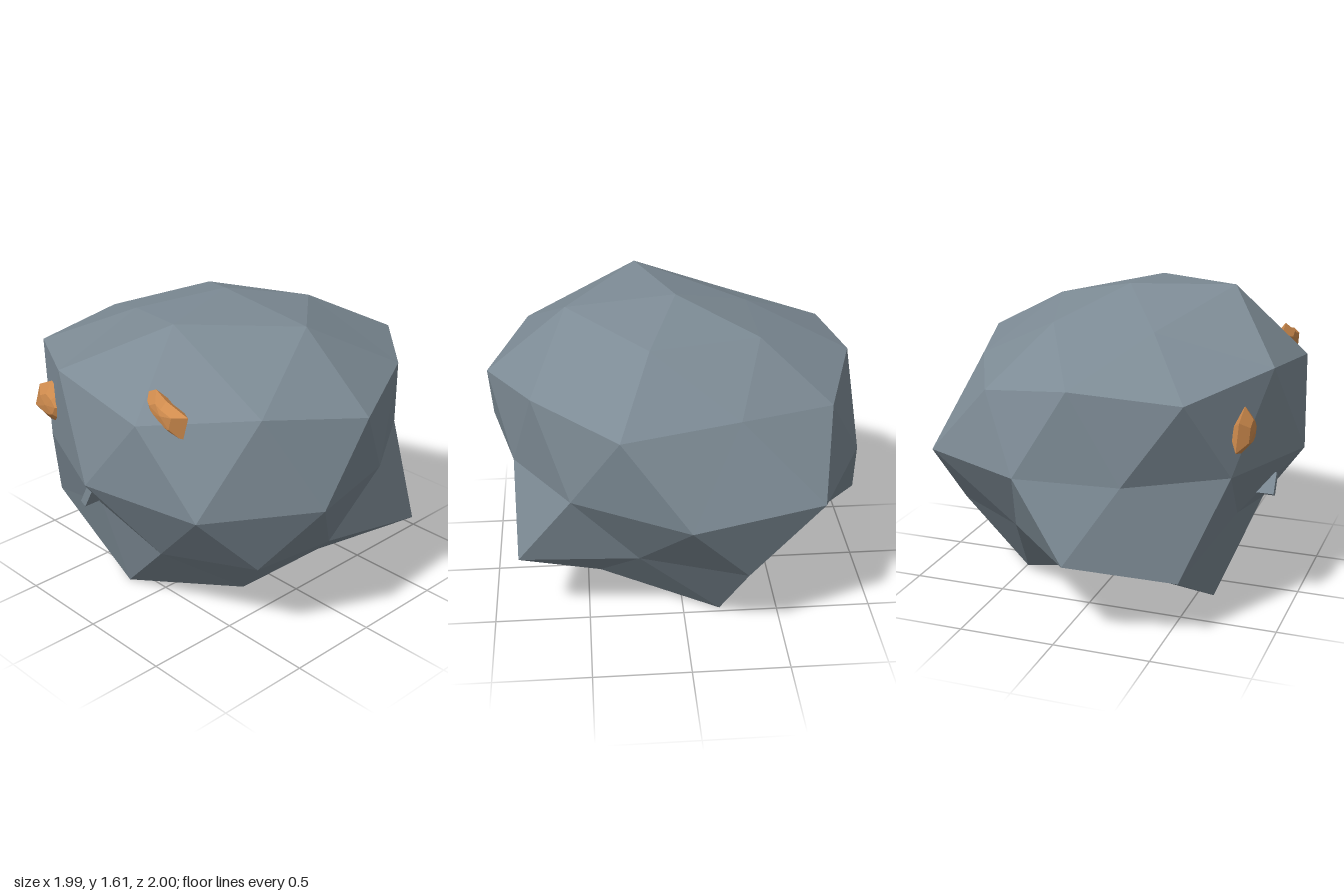
import * as THREE from 'three';

const stone = new THREE.MeshStandardMaterial({ color: 0x7d8b95, flatShading: true });
stone.name = 'stoneGrey';
const amber = new THREE.MeshStandardMaterial({ color: 0xd08c4e, flatShading: true });
amber.name = 'amber';

function meshFrom(tris, material, name) {
  const geo = new THREE.BufferGeometry().setFromPoints(tris);
  geo.computeVertexNormals();
  const mesh = new THREE.Mesh(geo, material);
  mesh.name = name;
  return mesh;
}

// Boulder: a once-subdivided icosahedron standing on a pole, squashed,
// with every corner pushed in or out along its own direction.
function boulder() {
  const ring = (elevation, start, step, radii) => radii.map((r, i) => {
    const a = THREE.MathUtils.degToRad(start + step * i);
    const h = Math.sqrt(1 - elevation * elevation);
    return new THREE.Vector3(
      r * h * Math.cos(a), 0.82 + 0.8 * r * elevation, 0.05 + 0.9 * r * h * Math.sin(a));
  });
  const [top] = ring(1, 0, 0, [0.988]);
  const A = ring(0.851, 0, 72, [1.085, 1.15, 0.94, 0.96, 1.0]);
  const C = ring(0.526, 36, 72, [1.135, 1.165, 1.075, 1.0, 1.095]);
  const B = ring(0.447, 0, 72, [1.105, 1.15, 1.165, 1.04, 1.2]);
  const D = ring(0, 18, 36, [1.04, 1.12, 1.056, 0.985, 0.935, 0.99, 1.15, 1.167, 0.98, 0.91]);
  const F = ring(-0.447, 36, 72, [1.01, 0.87, 1.115, 1.1, 1.185]);
  const E = ring(-0.526, 0, 72, [0.9, 0.94, 1.165, 0.9, 0.905]);
  const G = ring(-0.851, 36, 72, [1.01, 1.2, 0.89, 1.185, 1.02]);
  const [bottom] = ring(-1, 0, 0, [0.89]);

  const tris = [];
  // One large face split in four by its edge midpoints
  const face = (a, b, c, ab, bc, ca) =>
    tris.push(a, ab, ca, ab, b, bc, ca, bc, c, ab, bc, ca);
  for (let k = 0; k < 5; k++) {
    const n = (k + 1) % 5;
    const d0 = D[2 * k], d1 = D[2 * k + 1], d2 = D[(2 * k + 2) % 10];
    face(top, B[n], B[k], A[n], C[k], A[k]);
    face(B[k], B[n], F[k], C[k], d1, d0);
    face(F[k], B[n], F[n], d1, d2, E[n]);
    face(bottom, F[k], F[n], G[k], E[n], G[n]);
  }
  return meshFrom(tris, stone, 'boulder');
}

// Chipped pebble: a clockwise outline bevelled to a smaller front and back
function pebble(name, outline, cx, cy) {
  const layer = (scale, z) => outline.map(([x, y]) =>
    new THREE.Vector3(cx + (x - cx) * scale, cy + (y - cy) * scale, z));
  const mid = layer(1, 0.805), front = layer(0.5, 0.848), back = layer(0.5, 0.765);
  const frontTip = new THREE.Vector3(cx, cy, 0.856);
  const backTip = new THREE.Vector3(cx, cy, 0.76);
  const tris = [];
  outline.forEach((_, i) => {
    const j = (i + 1) % outline.length;
    tris.push(frontTip, front[j], front[i]);
    tris.push(front[i], front[j], mid[j], front[i], mid[j], mid[i]);
    tris.push(mid[i], mid[j], back[j], mid[i], back[j], back[i]);
    tris.push(backTip, back[i], back[j]);
  });
  return meshFrom(tris, amber, name);
}

export function createModel() {
  const group = new THREE.Group();
  group.name = 'rockFace';
  group.add(boulder());

  // Eyes, partly sunk into the stone
  group.add(pebble('leftEye', [
    [0.24, 1.34], [0.33, 1.385], [0.4, 1.347], [0.55, 1.31],
    [0.51, 1.18], [0.48, 1.175], [0.36, 1.2], [0.27, 1.26],
  ], 0.41, 1.29));
  group.add(pebble('rightEye', [
    [-0.66, 0.975], [-0.61, 1.11], [-0.5, 1.163], [-0.42, 1.12],
    [-0.36, 1.05], [-0.41, 0.96], [-0.47, 0.94], [-0.54, 0.94],
  ], -0.5, 1.04));

  // Small slanted chip for a mouth
  const mouth = new THREE.Mesh(new THREE.BoxGeometry(0.04, 0.115, 0.11), stone);
  mouth.name = 'mouth';
  mouth.position.set(-0.147, 0.655, 0.835);
  mouth.rotation.z = -0.5;
  group.add(mouth);

  return group;
}
